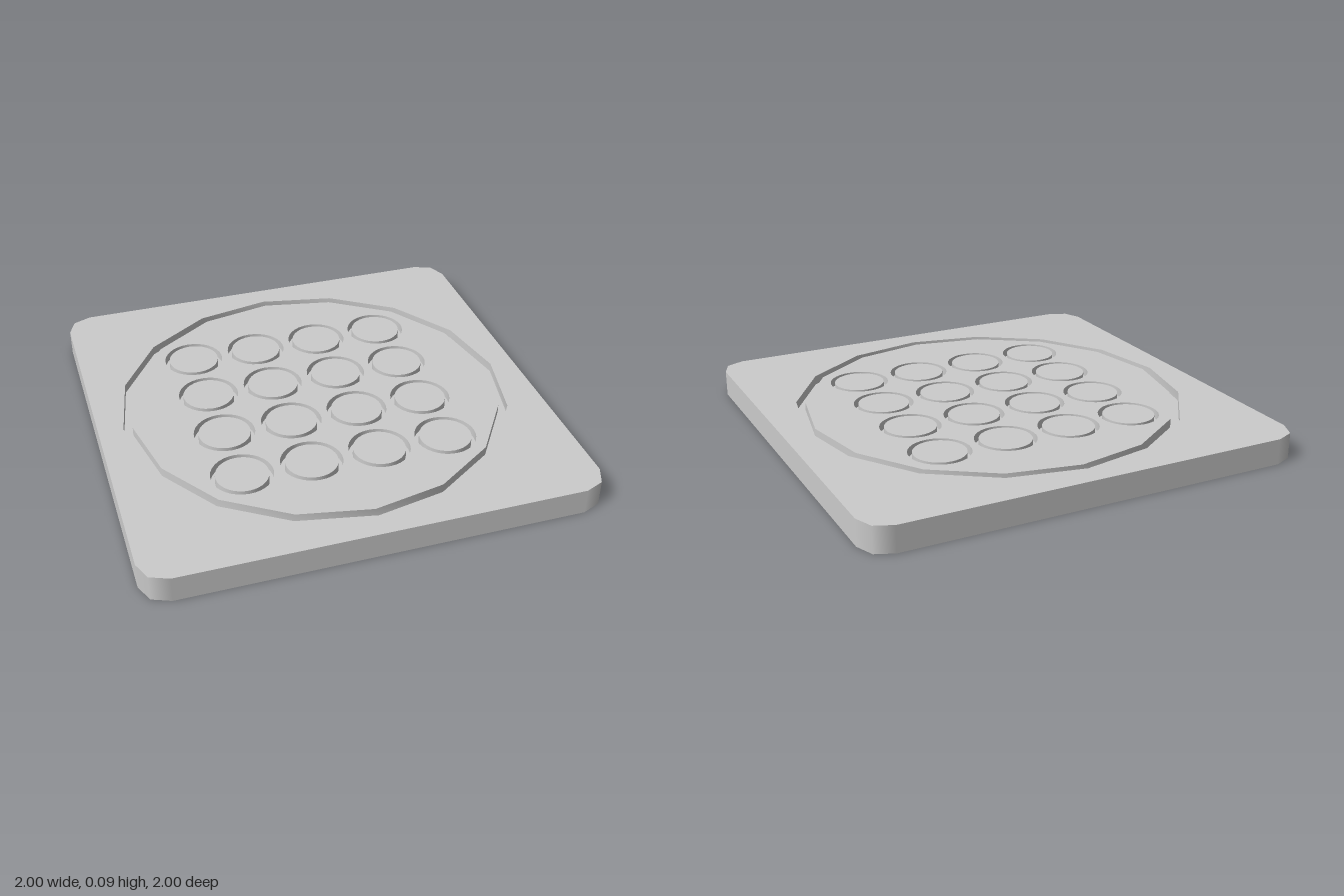
import * as THREE from 'three';
import { toCreasedNormals } from 'three/addons/utils/BufferGeometryUtils.js';

const H = 0.086;        // plate thickness
const DEPTH = 0.03;     // groove depth
const CORNER = 0.085;   // plate corner radius
const BIG = { outer: 0.65, inner: 0.62, sides: 16 };
const SMALL = { outer: 0.1, inner: 0.085, sides: 32 };

export function createModel() {
  const group = new THREE.Group();
  const material = new THREE.MeshStandardMaterial({ color: 0xcccccc });

  const add = (name, geometry, x = 0, y = 0, z = 0) => {
    const mesh = new THREE.Mesh(geometry, material);
    mesh.name = name;
    mesh.position.set(x, y, z);
    group.add(mesh);
  };

  // Closed polygon of points around a centre
  const ring = (r, n, cx = 0, cy = 0) => Array.from({ length: n }, (_, i) => {
    const a = (i / n) * Math.PI * 2;
    return new THREE.Vector2(cx + r * Math.cos(a), cy + r * Math.sin(a));
  });

  // Horizontal face, facing up or down
  const face = (points, holes = [], up = true) => {
    const shape = new THREE.Shape(points);
    shape.holes = holes.map((h) => new THREE.Path(h));
    return new THREE.ShapeGeometry(shape).rotateX(up ? -Math.PI / 2 : Math.PI / 2);
  };

  // U-shaped circular channel: outer wall, floor, inner wall
  const groove = ({ outer, inner, sides }) => toCreasedNormals(new THREE.LatheGeometry([
    new THREE.Vector2(outer, H), new THREE.Vector2(outer, H - DEPTH),
    new THREE.Vector2(inner, H - DEPTH), new THREE.Vector2(inner, H),
  ], sides), Math.PI / 4);

  // Diamond outline: three points on each rounded corner, with radial normals
  const outline = [], normals = [];
  for (let c = 0; c < 4; c++) {
    const mid = c * Math.PI / 2;
    const centre = new THREE.Vector2(Math.cos(mid), Math.sin(mid)).multiplyScalar(1 - CORNER);
    for (const s of [-1, 0, 1]) {
      const a = mid + s * Math.PI / 4;
      const n = new THREE.Vector2(Math.cos(a), Math.sin(a));
      normals.push(n);
      outline.push(centre.clone().addScaledVector(n, CORNER));
    }
  }

  // Outer side wall, smooth round the corners and flat along the edges
  const pos = [], nor = [], index = [];
  outline.forEach((p, i) => {
    const n = normals[i], j = (i + 1) % outline.length;
    pos.push(p.x, 0, -p.y, p.x, H, -p.y);
    nor.push(n.x, 0, -n.y, n.x, 0, -n.y);
    index.push(2 * i, 2 * j, 2 * j + 1, 2 * i, 2 * j + 1, 2 * i + 1);
  });
  const wall = new THREE.BufferGeometry();
  wall.setAttribute('position', new THREE.Float32BufferAttribute(pos, 3));
  wall.setAttribute('normal', new THREE.Float32BufferAttribute(nor, 3));
  wall.setIndex(index);

  add('plateSides', wall);
  add('plateBottom', face(outline, [], false));
  add('plateTop', face(outline, [ring(BIG.outer, BIG.sides)]), 0, H);
  add('largeGroove', groove(BIG));

  // Four by four grid of small round grooves, turned 45 degrees
  const centres = [];
  for (let i = 0; i < 4; i++) {
    for (let j = 0; j < 4; j++) centres.push([0.16 * (i - j), 0.16 * (i + j - 3)]);
  }
  const holes = centres.map(([x, z]) => ring(SMALL.outer, SMALL.sides, x, -z));
  add('innerField', face(ring(BIG.inner, BIG.sides), holes), 0, H);

  const smallGroove = groove(SMALL);
  const cap = face(ring(SMALL.inner, SMALL.sides));
  for (const [x, z] of centres) {
    add('smallGroove', smallGroove, x, 0, z);
    add('smallDisc', cap, x, H, z);
  }
  return group;
}
